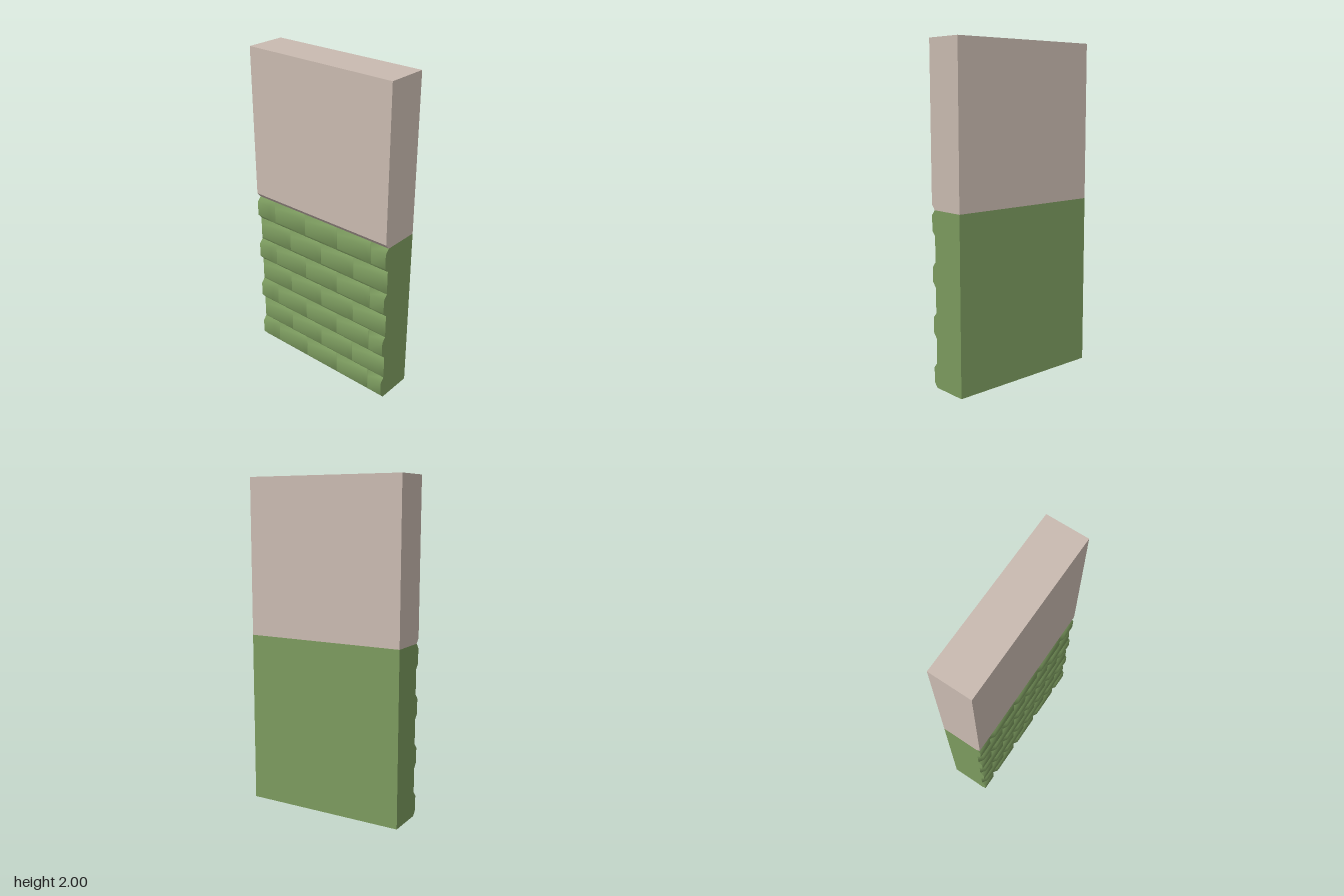
import * as THREE from 'three';

const HALF_W = 0.5, BACK = -0.125, GROOVE = 0.1, FACE = 0.125;
const ROWS = 7, ROW_H = 0.15, BRICK_W = 0.25, BEVEL_X = 0.025, BEVEL_Y = 0.03;
const BASE_H = ROWS * ROW_H;

// Bevelled brick face with soft normals; an end cut by the wall edge gets a flat cap
function brickGeometry(x0, x1, y0, y1) {
  const cutLeft = x0 < -HALF_W, cutRight = x1 > HALF_W;
  const a = Math.max(x0, -HALF_W), b = Math.min(x1, HALF_W);
  const ia = cutLeft ? a : a + BEVEL_X, ib = cutRight ? b : b - BEVEL_X;
  const points = [
    [a, y0, GROOVE], [b, y0, GROOVE], [b, y1, GROOVE], [a, y1, GROOVE],
    [ia, y0 + BEVEL_Y, FACE], [ib, y0 + BEVEL_Y, FACE],
    [ib, y1 - BEVEL_Y, FACE], [ia, y1 - BEVEL_Y, FACE],
  ];
  const index = [];
  const quad = (p, q, r, s) => index.push(p, q, r, p, r, s);
  // Copying the corners keeps a cap's normals flat
  const side = (corners, cut) => {
    if (!cut) return quad(...corners);
    const start = points.length;
    corners.forEach((i) => points.push(points[i]));
    quad(start, start + 1, start + 2, start + 3);
  };
  quad(4, 5, 6, 7);
  quad(0, 1, 5, 4);
  quad(2, 3, 7, 6);
  side([1, 2, 6, 5], cutRight);
  side([3, 0, 4, 7], cutLeft);
  const geometry = new THREE.BufferGeometry();
  geometry.setAttribute('position', new THREE.Float32BufferAttribute(points.flat(), 3));
  geometry.setIndex(index);
  geometry.computeVertexNormals();
  return geometry;
}

export function createModel() {
  const green = new THREE.MeshStandardMaterial({ color: 0x7b9a5e });
  green.name = 'green tile';
  const beige = new THREE.MeshStandardMaterial({ color: 0xc9bab0 });
  beige.name = 'beige plaster';

  const wall = new THREE.Group();
  wall.name = 'wall';

  // Lower backing, left open where the bricks and upper wall cover it
  const baseGeometry = new THREE.BoxGeometry(2 * HALF_W, BASE_H, GROOVE - BACK);
  const faces = Array.from(baseGeometry.index.array);
  baseGeometry.clearGroups();
  baseGeometry.setIndex(faces.filter((_, i) => ![2, 4].includes(Math.floor(i / 6))));
  const base = new THREE.Mesh(baseGeometry, green);
  base.name = 'lowerWall';
  base.position.set(0, BASE_H / 2, (GROOVE + BACK) / 2);
  wall.add(base);

  // Running-bond brick courses
  const bricks = new THREE.Group();
  bricks.name = 'bricks';
  for (let row = 0; row < ROWS; row++) {
    const offset = row % 2 === 0 ? BRICK_W / 2 : 0;
    for (let x = -HALF_W - offset; x < HALF_W - 0.001; x += BRICK_W) {
      const brick = new THREE.Mesh(
        brickGeometry(x, x + BRICK_W, row * ROW_H, (row + 1) * ROW_H), green);
      brick.name = 'brick';
      bricks.add(brick);
    }
  }
  wall.add(bricks);

  // Plain upper wall with a chamfered lower front edge: profile is (-z, y)
  const profile = new THREE.Shape([
    [-GROOVE, BASE_H], [-BACK, BASE_H], [-BACK, 2], [-FACE, 2], [-FACE, BASE_H + BEVEL_Y],
  ].map(([x, y]) => new THREE.Vector2(x, y)));
  const upperGeometry = new THREE.ExtrudeGeometry(profile, { depth: 2 * HALF_W, bevelEnabled: false });
  upperGeometry.rotateY(Math.PI / 2).translate(-HALF_W, 0, 0);
  const upper = new THREE.Mesh(upperGeometry, beige);
  upper.name = 'upperWall';
  wall.add(upper);

  return wall;
}
